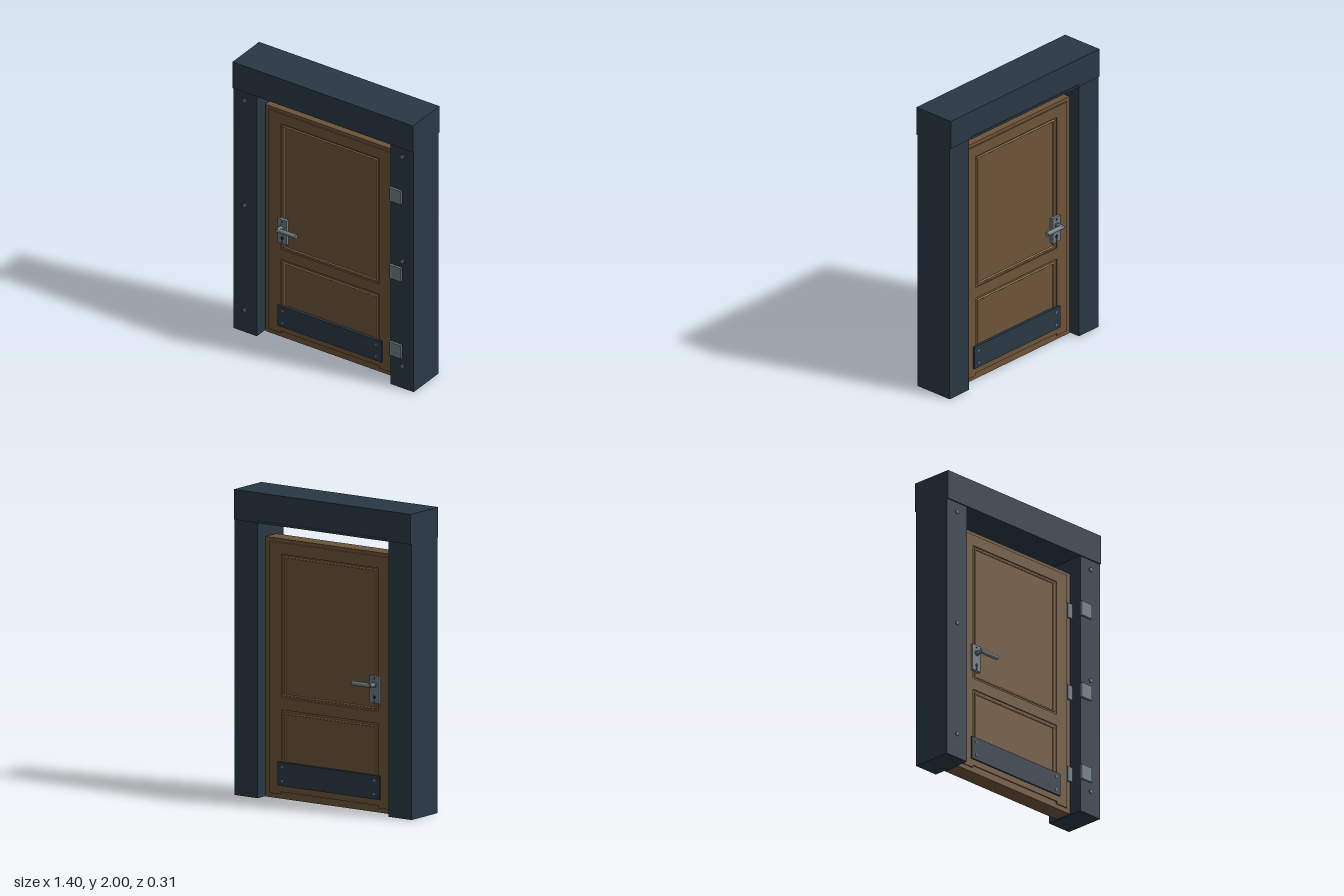
import * as THREE from 'three';

const mat = (name, color) => {
  const m = new THREE.MeshStandardMaterial({ color });
  m.name = name;
  return m;
};

export function createModel() {
  const navy = mat('navy paint', 0x293845);
  const wood = mat('brown wood', 0x6e5439);
  const trim = mat('light wood trim', 0x966f48);
  const metal = mat('grey metal', 0x6c7c82);
  const dark = mat('dark recess', 0x1b2127);

  const model = new THREE.Group();
  model.name = 'doorway';
  const group = (name, parent = model) => {
    const g = new THREE.Group();
    g.name = name;
    parent.add(g);
    return g;
  };
  const add = (parent, name, geo, material, x = 0, y = 0, z = 0) => {
    const m = new THREE.Mesh(geo, material);
    m.name = name;
    m.position.set(x, y, z);
    parent.add(m);
    return m;
  };
  // Box given by its limits on each axis
  const box = (parent, name, material, [x0, x1], [y0, y1], [z0, z1]) =>
    add(parent, name, new THREE.BoxGeometry(x1 - x0, y1 - y0, Math.abs(z1 - z0)), material,
      (x0 + x1) / 2, (y0 + y1) / 2, (z0 + z1) / 2);
  // Round disc or pin lying along z
  const pin = (parent, name, material, r, len, x, y, z) =>
    add(parent, name, new THREE.CylinderGeometry(r, r, len, 16).rotateX(Math.PI / 2), material, x, y, z);
  // Round bar lying along x
  const bar = (parent, name, material, r, [x0, x1], y, z) =>
    add(parent, name, new THREE.CylinderGeometry(r, r, x1 - x0, 16).rotateZ(Math.PI / 2), material,
      (x0 + x1) / 2, y, z);

  // Frame: jambs, header and the strip behind the header
  const frame = group('frame');
  for (const s of [-1, 1]) {
    add(frame, 'jamb', new THREE.BoxGeometry(0.182, 1.802, 0.28), navy, s * 0.6105, 0.901, -0.003);
    for (const y of [0.165, 0.95, 1.735])
      pin(frame, 'frameScrew', metal, 0.014, 0.012, s * 0.613, y, 0.139);
  }
  box(frame, 'header', navy, [-0.7015, 0.7015], [1.802, 2], [-0.153, 0.146]);
  box(frame, 'headerStrip', navy, [-0.51, 0.51], [1.802, 1.818], [-0.157, -0.15]);

  // Door leaf
  const door = group('door');
  door.position.z = -0.0075;
  box(door, 'doorSlab', wood, [-0.512, 0.512], [0, 1.7], [-0.059, 0.059]);

  // Outline of the raised face, notched along the bottom, with two panel openings
  const polygon = (C, pts) => new C(pts.map(([x, y]) => new THREE.Vector2(x, y)));
  const face = polygon(THREE.Shape, [[-0.482, 0.03], [-0.387, 0.03], [-0.387, 0.046], [0.383, 0.046],
    [0.383, 0.03], [0.478, 0.03], [0.478, 1.676], [-0.482, 1.676]]);
  for (const [y0, y1] of [[0.66, 1.6], [0.16, 0.583]])
    face.holes.push(polygon(THREE.Path, [[-0.385, y0], [0.382, y0], [0.382, y1], [-0.385, y1]]));
  const faceGeo = new THREE.ExtrudeGeometry(face, { depth: 0.008, bevelEnabled: false });

  for (const s of [-1, 1]) {
    const side = group(s > 0 ? 'frontFace' : 'backFace', door);
    add(side, 'stilesAndRails', faceGeo, wood, 0, 0, s > 0 ? 0.059 : -0.067);

    // Rounded bead inside each sunk panel
    for (const [y0, y1] of [[0.68, 1.584], [0.18, 0.561]]) {
      for (const y of [y0, y1]) bar(side, 'panelBead', trim, 0.006, [-0.366, 0.363], y, s * 0.06);
      for (const x of [-0.36, 0.357])
        add(side, 'panelBead', new THREE.CylinderGeometry(0.006, 0.006, y1 - y0, 16), trim,
          x, (y0 + y1) / 2, s * 0.06);
    }

    // Kick plate with four screws
    box(side, 'kickPlate', navy, [-0.405, 0.405], [0.087, 0.243], [s * 0.059, s * 0.078]);
    for (const x of [-0.365, 0.365])
      for (const y of [0.12, 0.21])
        pin(side, 'kickPlateScrew', metal, 0.009, 0.006, x, y, s * 0.078);

    // Lever handle on its back plate
    const handle = group('handle', side);
    box(handle, 'handlePlate', metal, [-0.403, -0.33], [0.714, 0.895], [s * 0.059, s * 0.082]);
    pin(handle, 'rosette', metal, 0.018, 0.012, -0.367, 0.838, s * 0.085);
    pin(handle, 'handleNeck', metal, 0.014, 0.06, -0.367, 0.838, s * 0.108);
    bar(handle, 'lever', metal, 0.015, [-0.372, -0.225], 0.838, s * 0.1265);
    pin(handle, 'keyhole', dark, 0.011, 0.004, -0.367, 0.757, s * 0.082);
    box(handle, 'keySlot', dark, [-0.372, -0.362], [0.74, 0.757], [s * 0.08, s * 0.084]);
    for (const y of [0.727, 0.877])
      pin(handle, 'plateScrew', dark, 0.006, 0.004, -0.367, y, s * 0.082);
  }

  // Hinges: one leaf on the door, one on the jamb
  for (const y of [0.275, 0.853, 1.431]) {
    const hinge = group('hinge');
    const ys = [y - 0.05, y + 0.05];
    box(hinge, 'doorLeaf', metal, [0.478, 0.52], ys, [0.05, 0.067]);
    box(hinge, 'jambLeaf', metal, [0.522, 0.609], ys, [0.136, 0.153]);
    add(hinge, 'knuckle', new THREE.CylinderGeometry(0.01, 0.01, 0.1, 16), metal, 0.529, y, 0.146);
  }
  return model;
}
